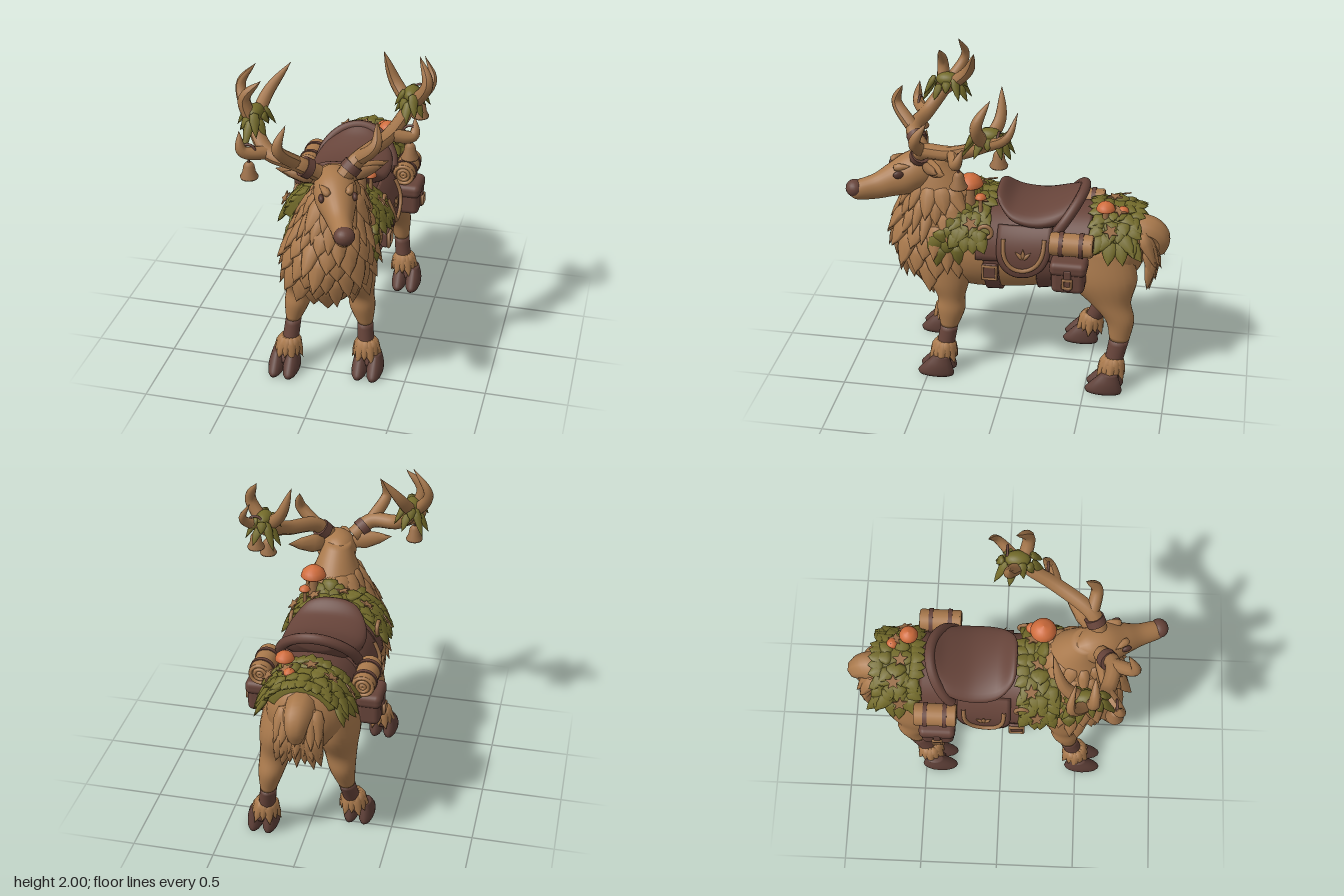
import * as THREE from 'three';
import { mergeGeometries } from 'three/addons/utils/BufferGeometryUtils.js';
import { RoundedBoxGeometry } from 'three/addons/geometries/RoundedBoxGeometry.js';

const V = (x, y, z) => new THREE.Vector3(x, y, z);
const mat = (name, color) => Object.assign(new THREE.MeshStandardMaterial({ color }), { name });
const X = V(1, 0, 0), Y = V(0, 1, 0), Z = V(0, 0, 1), SIDES = [-1, 1], TAU = Math.PI * 2;
const range = (n, f) => Array.from({ length: n }, (_, i) => f(i));

// Smoothly resample rings [cx, cy, cz, ru, rv]
function dense(rings, n = 6) {
  const c = new THREE.CatmullRomCurve3(rings.map(r => V(r[0], r[1], r[2])), false, 'catmullrom');
  const s = new THREE.CatmullRomCurve3(rings.map(r => V(r[3], r[4], 0)), false, 'catmullrom');
  const N = (rings.length - 1) * n;
  return range(N + 1, i => {
    const p = c.getPoint(i / N), q = s.getPoint(i / N);
    return [p.x, p.y, p.z, q.x, q.y];
  });
}

function surface(pos, idx) {
  const g = new THREE.BufferGeometry();
  g.setAttribute('position', new THREE.Float32BufferAttribute(pos, 3));
  g.setIndex(idx);
  g.computeVertexNormals();
  return g;
}

// Closed skin over elliptical rings spanned by axes U and W
function loft(rings, U, W, seg = 24) {
  let d = dense(rings);
  const way = V(...d.at(-1)).sub(V(...d[0]));
  if (U.clone().cross(W).dot(way) < 0) d = d.reverse();
  const pos = [], idx = [], last = (d.length - 1) * seg, e = d.length * seg;
  for (const r of d) for (let j = 0; j < seg; j++) {
    const a = j / seg * TAU;
    pos.push(...V(...r).addScaledVector(U, Math.cos(a) * r[3]).addScaledVector(W, Math.sin(a) * r[4]));
  }
  pos.push(...V(...d[0]), ...V(...d.at(-1)));
  for (let j = 0; j < seg; j++) {
    const k = (j + 1) % seg;
    for (let i = 0; i < last; i += seg) idx.push(i + j, i + k, i + j + seg, i + k, i + k + seg, i + j + seg);
    idx.push(e, k, j, e + 1, last + j, last + k);
  }
  return surface(pos, idx);
}

// Tube whose radius follows a function of its length
function taper(pts, rad, seg = 20) {
  const curve = new THREE.CatmullRomCurve3(pts.map(p => V(...p)));
  const g = new THREE.TubeGeometry(curve, seg, 1, 10), p = g.attributes.position;
  for (let k = 0; k < p.count; k++) {
    const t = Math.floor(k / 11) / seg, c = curve.getPointAt(t);
    const v = V().fromBufferAttribute(p, k).sub(c).multiplyScalar(Math.max(rad(t), .001)).add(c);
    p.setXYZ(k, v.x, v.y, v.z);
  }
  g.computeVertexNormals();
  return g;
}

// Lathe from radius and height lists
const lathe = (r, h, seg) => new THREE.LatheGeometry(r.map((q, i) => new THREE.Vector2(q, h[i])), seg);
// Pointed lock used for fur, moss and ears
const lock = lathe([0, .8, 1, .62, 0], [0, .08, .32, .68, 1], 8);
function place(g, p, dir, normal, w, l, t) {
  const y = dir.clone().normalize(), x = y.clone().cross(normal).normalize(), z = x.clone().cross(y);
  return g.clone().applyMatrix4(new THREE.Matrix4().makeBasis(x, y, z).scale(V(w, l, t)).setPosition(p));
}
const tuft = (...a) => place(lock, ...a);
const ball = (x, y, z, a, b, c) => new THREE.SphereGeometry(1, 20, 14).scale(a, b, c).translate(x, y, z);
const box = (x, y, z, w, h, d, r) => new RoundedBoxGeometry(w, h, d, 3, r).translate(x, y, z);
const torus = (r, tube, x, y, z) => new THREE.TorusGeometry(r, tube, 8, 22).translate(x, y, z);
const buckle = (r, x, y, z) => new THREE.TorusGeometry(r, .011, 8, 4).rotateZ(Math.PI / 4).rotateY(Math.PI / 2).translate(x, y, z);

const BODY = [[0, .9, -.82, .07, .09], [0, .9, -.77, .17, .18], [0, .89, -.66, .235, .24], [0, .86, -.3, .255, .255],
  [0, .835, 0, .265, .275], [0, .845, .3, .27, .285], [0, .88, .6, .15, .2]];
const MANE = [[.06, 1.42, .5, .08, .08], [.06, 1.28, .46, .135, .165], [.04, 1.1, .44, .205, .265],
  [.02, .9, .44, .25, .31], [0, .7, .43, .24, .25], [0, .56, .4, .12, .13]];
const bodyD = dense(BODY), maneD = dense(MANE).reverse();
function ringAt(d, k, v) {
  let i = 0;
  while (i < d.length - 2 && d[i + 1][k] < v) i++;
  const t = THREE.MathUtils.clamp((v - d[i][k]) / (d[i + 1][k] - d[i][k]), 0, 1);
  return d[i].map((q, m) => q + (d[i + 1][m] - q) * t);
}
// Points on the trunk (angle from the spine) and mane (angle from the front)
const onBody = (z, a, off = 0) => { const r = ringAt(bodyD, 2, z); return V(Math.sin(a) * (r[3] + off), r[1] + Math.cos(a) * (r[4] + off), z); };
const onMane = (y, a, off = 0) => { const r = ringAt(maneD, 1, y); return V(r[0] + Math.sin(a) * (r[3] + off), y, r[2] + Math.cos(a) * (r[4] + off)); };

// Padded panel wrapped over the trunk, optionally with a rounded lower end
function panel(z0, z1, a0, a1, off, round = false) {
  const nz = 14, na = 30, pos = [], idx = [], lo = Math.min(Math.abs(a0), Math.abs(a1)), hi = Math.max(Math.abs(a0), Math.abs(a1));
  for (let i = 0; i <= nz; i++) for (let j = 0; j <= na; j++) {
    const u = THREE.MathUtils.clamp((i - 1) / (nz - 2), 0, 1), v = THREE.MathUtils.clamp((j - 1) / (na - 2), 0, 1);
    const a = a0 + (a1 - a0) * v, f = Math.max(0, ((Math.abs(a) - lo) / (hi - lo) - .45) / .55);
    const w = round ? Math.sqrt(Math.max(.02, 1 - f * f)) : 1;
    const edge = i === 0 || i === nz || j === 0 || j === na;
    pos.push(...onBody((z0 + z1) / 2 + (u - .5) * (z1 - z0) * w, a, edge ? -.02 : off));
    if (i < nz && j < na) {
      const k = i * (na + 1) + j, b = k + na + 1;
      idx.push(k, b, k + 1, b, b + 1, k + 1);
    }
  }
  return surface(pos, idx);
}

// Rings from hip to hoof; the sock starts at the fifth
const FRONT_LEG = [[.16, .85, .38, .11, .15], [.18, .65, .38, .1, .13], [.19, .53, .365, .08, .088], [.2, .44, .365, .078, .088],
  [.22, .33, .375, .048, .056], [.235, .16, .405, .052, .056], [.255, .07, .425, .06, .06]];
const HIND_LEG = [[.13, .95, -.5, .12, .23], [.16, .75, -.55, .135, .24], [.185, .59, -.625, .1, .135], [.205, .47, -.695, .078, .09],
  [.225, .34, -.7, .05, .062], [.25, .16, -.665, .052, .056], [.28, .07, -.645, .06, .06]];

// Antler beams, and tines as [beam point, middle, tip]
const RIGHT_BEAM = [[-.02, 1.43, .58], [-.12, 1.51, .65], [-.3, 1.54, .61], [-.41, 1.66, .52], [-.52, 1.85, .4], [-.42, 2, .42]];
const RIGHT_TINES = [[1, [-.2, 1.65, .77], [-.165, 1.775, .72]], [2, [-.43, 1.57, .69], [-.45, 1.69, .68]],
  [3, [-.37, 1.8, .36], [-.25, 1.97, .29]], [3, [-.46, 1.82, .53], [-.36, 1.94, .53]]];
const LEFT_BEAM = [[.13, 1.42, .57], [.2, 1.51, .52], [.34, 1.58, .3], [.42, 1.68, .1], [.52, 1.79, -.05], [.46, 1.92, -.1]];
const LEFT_TINES = [[1, [.31, 1.62, .54], [.3, 1.74, .47]], [2, [.47, 1.57, .26], [.47, 1.67, .22]],
  [3, [.31, 1.8, .03], [.24, 1.98, .03]], [3, [.52, 1.84, .13], [.46, 1.98, .06]]];

export function createModel() {
  const root = new THREE.Group();
  const fur = mat('fur', 0xa9794c), antler = mat('antler', 0xa3754a), leather = mat('leather', 0x67443a), hoof = mat('hoof', 0x5f4038),
    moss = mat('moss', 0x736b2a), orange = mat('mushroomOrange', 0xcf6c3c), trim = mat('trim', 0x9c7049), dark = mat('eyeDark', 0x563830);
  const add = (name, m, geos, parent = root) => {
    const list = geos.map(g => { const q = g.index ? g.toNonIndexed() : g.clone(); q.deleteAttribute('uv'); return q; });
    const mesh = new THREE.Mesh(mergeGeometries(list), m);
    mesh.name = name;
    parent.add(mesh);
  };
  const group = name => {
    const g = new THREE.Group();
    g.name = name;
    root.add(g);
    return g;
  };

  // Trunk, mane and layered fur
  add('trunk', fur, [loft(BODY, X, Y, 32)]);
  const mane = [loft(MANE, X, Z, 32)];
  for (let r = 0; r < 9; r++) for (let j = 0; j < 14; j++) {
    const y = 1.27 - r * .076, a = (j + (r % 2) / 2) / 14 * TAU, p = onMane(y, a, -.025), n = V(Math.sin(a), .1, Math.cos(a));
    if (r > 4 && Math.cos(a) < -.5) continue;
    const d = onMane(y - .1, a).sub(p).addScaledVector(n, r < 2 ? 0 : .012);
    mane.push(tuft(p, d, n, (r < 3 ? .052 : .068) + .012 * Math.sin(j * 5 + r), .2 + .04 * Math.sin(j * 3 + r * 2), .03));
  }
  add('maneFur', fur, mane);

  // Tail
  const tail = [taper([[0, .99, -.7], [0, 1.0, -.84], [0, .95, -.9], [0, .85, -.9]], t => .098 * (1 - t * t * .6))];
  for (let j = -3; j <= 3; j++) for (const k of [0, 1, 2])
    tail.push(tuft(V(j * .03, 1.05 - k * .07 - Math.abs(j) * .012, -.8 - k * .035), V(j * .035, -.5, -.32 + k * .14 + Math.abs(j) * .03), V(j * .15, .4, -1), .048, .26 - .03 * (j & 1), .035));
  add('tail', fur, tail);

  // Legs with socks, fur cuffs and cloven hooves; the right ones step forward
  for (const [name, pts, stride] of [['frontLeg', FRONT_LEG, .1], ['hindLeg', HIND_LEG, .23]]) for (const s of SIDES) {
    const step = s < 0 ? stride : 0;
    const p = pts.map(q => [q[0] * s, q[1], q[2] + step * (1 - q[1] / pts[0][1]), q[3], q[4]]);
    const leg = group(name), locks = [], knee = V(...p[3]), ankle = V(...p[5]), [fx, , fz] = p[6];
    for (let j = 0; j < 12; j++) {
      const a = j / 12 * TAU, n = V(Math.sin(a), 0, Math.cos(a));
      locks.push(tuft(ankle.clone().addScaledVector(n, .035).addScaledVector(Y, .065), V(n.x * .065 + s * .01, -.15, n.z * .065 + .01), n, .037, .13 + .025 * (j % 2), .028));
      if (j % 2) locks.push(tuft(knee.clone().addScaledVector(n, .05).addScaledVector(Y, .06), V(-n.x * .015, -.1, -n.z * .015), n, .042, .15, .03));
    }
    add('upperLeg', fur, [loft(p.slice(0, 5), X, Z)], leg);
    add('sock', leather, [loft(p.slice(4), X, Z)], leg);
    add('legFur', fur, locks, leg);
    add('hoof', hoof, SIDES.map(k => {
      const x = fx + k * .047;
      return loft([[x, .14, fz - .01, .03, .05], [x, .08, fz + .01, .047, .088], [x, .03, fz + .025, .05, .115], [x, .004, fz + .025, .042, .11]], X, Z, 16);
    }), leg);
  }

  // Head, turned to its left
  const head = group('head');
  head.position.set(.07, 0, .55);
  head.rotation.y = .38;
  add('skull', fur, [loft([[0, 1.36, -.12, .05, .06], [0, 1.345, -.04, .11, .11], [0, 1.32, .08, .125, .13], [0, 1.28, .2, .092, .105],
    [0, 1.245, .3, .067, .08], [0, 1.232, .41, .057, .06], [0, 1.235, .455, .035, .035]], X, Y),
    ...SIDES.map(s => tuft(V(s * .055, 1.385, .19), V(s * .05, .02, -.12), V(s, 1, 0), .025, .11, .025))], head);
  add('nose', leather, [ball(0, 1.246, .422, .06, .053, .055)], head);
  add('eyes', dark, SIDES.map(s => ball(s * .096, 1.352, .165, .016, .024, .032)), head);
  for (const s of SIDES) {
    const d = V(s * .9, .16, -.25), n = V(s * .2, -.1, 1);
    add('ear', fur, [tuft(V(s * .085, 1.395, -.01), d, n, .062, .26, .03)], head);
    add('innerEar', trim, [tuft(V(s * .115, 1.4, .008), d, n, .042, .19, .025)], head);
  }

  // Antlers with a leather band at the base and moss hanging from the fork
  for (const [beam, tines] of [[RIGHT_BEAM, RIGHT_TINES], [LEFT_BEAM, LEFT_TINES]]) {
    add('antler', antler, [taper(beam, t => .05 * (1 - .25 * t) * (1 - t ** 6), 36),
      ...tines.map(([i, mid, tip]) => taper([beam[i], mid, tip], t => .041 * (1 - t ** 3)))]);
    const a = V(...beam[0]), d = V(...beam[1]).sub(a), c = V(...beam[3]).add(V(0, .07, -.03));
    add('antlerBand', leather, [place(new THREE.CylinderGeometry(1, 1, 1, 18), a.addScaledVector(d, .55), d, Z, .06, .05, .06)]);
    add('antlerMoss', moss, [ball(c.x, c.y, c.z, .05, .045, .075), ...range(11, j => {
      const t = j / 11 * TAU, n = V(Math.cos(t), .2, Math.sin(t));
      return tuft(c.clone().add(V(n.x * .04, .03 * Math.sin(j * 4), n.z * .085)), V(n.x * .06, -.1, n.z * .06), n, .03, .08 + .035 * (j % 4), .018);
    })]);
  }

  // Bells on cords
  const bell = lathe([0, .05, .054, .038, .032, .02, 0], [-.05, -.055, -.045, -.015, .025, .042, .047], 20);
  for (const [x, y, z] of [[-.4, 1.45, .67], [.45, 1.47, .25], [.46, 1.63, .01]]) {
    add('bell', trim, [bell.clone().translate(x, y, z), ball(x, y - .055, z, .015, .015, .015)]);
    add('bellCord', leather, [new THREE.CylinderGeometry(.007, .007, .09, 8).translate(x, y + .075, z), torus(.042, .008, x, y + .115, z)]);
  }

  // Moss blankets at the withers and rump, with ragged leafy edges
  const withers = [panel(.12, .36, -1.1, 1.1, .075)], rump = [panel(-.76, -.52, -1.1, 1.1, .035)];
  for (const s of SIDES) for (let t = 0; t <= 8; t++) for (let r = 0; r < (t > 6 ? 3 : 4); r++) {
    const y = 1.27 - .03 * t - .052 * r, a = s * (Math.PI - t * .185), p = onMane(y, a, .012), n = V(Math.sin(a), .2, Math.cos(a));
    withers.push(tuft(p, onMane(y - .1, a - s * .25 * Math.sin(t * 2.3 + r * 1.7), .03).sub(p), n, .055, .12 + .025 * Math.sin(t * 3 + r), .03));
  }
  for (let j = -7; j <= 7; j++) {
    const a = j * .15, n = V(Math.sin(a), Math.cos(a), 0), around = V(Math.cos(a), -Math.sin(a), 0).multiplyScalar(j / 6);
    for (const k of [-1, -.4, .3, 1]) {
      const d = around.clone().addScaledVector(Z, k * .8 + .5 * Math.sin(j * 2.1 + k * 5)).addScaledVector(n, .05);
      rump.push(tuft(onBody(-.645 + k * .08, a, .028), d, n, .05, Math.abs(j) > 5 ? .15 : .1, .022));
      withers.push(tuft(onBody(.23 + k * .06, a, .06), d.setZ(d.z * .6), n, .05, .11, .022));
    }
  }
  add('withersMoss', moss, withers);
  add('rumpMoss', moss, rump);

  // Fallen leaves lying on the moss
  const star = new THREE.Shape(range(10, i => {
    const r = i % 2 ? .45 : 1, a = i / 10 * TAU;
    return new THREE.Vector2(Math.sin(a) * r, Math.cos(a) * r);
  }));
  const leaf = new THREE.ExtrudeGeometry(star, { depth: 1, bevelEnabled: false });
  add('leaves', trim, [[-.62, .062], [.22, .094]].flatMap(([z, off]) => range(5, i => {
    const a = (i - 2) * .47 - .08;
    return place(leaf, onBody(z - .04 * (i % 2), a, off), V(.4, 0, 1), V(Math.sin(a), Math.cos(a), 0), .05, .05, .009);
  })));

  // Mushrooms [x, cap height, z, cap radius]
  const cap = lathe([0, .9, 1, .85, .5, 0], [0, -.12, 0, .42, .72, .85], 24);
  for (const [x, y, z, r] of [[.16, 1.3, .24, .08], [.2, 1.23, .17, .036], [.14, 1.19, -.58, .058], [.09, 1.16, -.68, .036]]) {
    add('mushroomStem', trim, [new THREE.CylinderGeometry(r * .3, r * .42, .15, 12).translate(x, y - .07, z)]);
    add('mushroomCap', orange, [cap.clone().scale(r, r, r).translate(x, y, z)]);
  }

  // Saddle: skirt, seat, cantle and girths
  add('saddleSkirt', leather, [panel(-.32, .19, -1.5, 1.5, .025), panel(-.5, -.28, -1.25, 1.25, .02)]);
  add('saddleSeat', leather, [loft([[0, 1.225, .09, .1, .02], [0, 1.19, .06, .17, .055], [0, 1.12, -.03, .235, .065],
    [0, 1.1, -.18, .25, .075], [0, 1.14, -.33, .22, .08], [0, 1.22, -.42, .11, .05]], X, Y, 32)]);
  add('cantle', leather, [taper(range(9, i => {
    const a = i / 8 * Math.PI, up = Math.sin(a) ** 1.2;
    return [-.24 * Math.cos(a), 1.06 + .2 * up, -.3 - .14 * up];
  }), () => .032, 30)]);
  add('girths', leather, [.05, -.27].map(z => panel(z, z + .09, -Math.PI, Math.PI, .018)));

  for (const s of SIDES) {
    // Rounded flap with a curved border, sprig and rings
    const gear = group('saddleGear'), [a0, a1] = s > 0 ? [.75, 1.85] : [-1.85, -.75];
    add('saddleFlap', leather, [panel(-.27, .06, a0, a1, .045, true)], gear);
    const border = range(11, i => {
      const t = i / 10 * Math.PI;
      return onBody(-.105 + .125 * Math.cos(t), s * (1.03 + .63 * Math.max(0, Math.sin(t)) ** .7), .052).toArray();
    });
    add('flapTrim', trim, [taper(border, () => .013, 40),
      ...[-.5, 0, .5].map(k => tuft(onBody(-.105, 1.42 * s, .043), V(0, .1, k * .2), V(s, 0, 0), .014, .07, .012)),
      new THREE.TorusGeometry(.04, .013, 8, 20).rotateY(Math.PI / 2).translate(s * .275, 1.04, .13), buckle(.06, s * .31, .78, .1)], gear);
    add('girthPad', leather, [box(s * .285, .78, .1, .05, .11, .1, .02)], gear);
    // Saddlebag with lid, strap and buckle
    add('saddlebag', leather, [box(s * .335, .825, -.39, .14, .19, .2, .035), box(s * .338, .895, -.39, .155, .09, .225, .035),
      box(s * .408, .83, -.39, .025, .14, .045, .01)], gear);
    add('bagBuckle', trim, [buckle(.036, s * .42, .81, -.39)], gear);
    // Bedroll with straps and coiled ends
    const roll = (r, l, z) => new THREE.CylinderGeometry(r, r, l, 28).rotateX(Math.PI / 2).translate(s * .31, 1.02, z);
    add('bedroll', fur, [roll(.07, .24, -.4), ...SIDES.flatMap(e => [.058, .033, .012].map(r => torus(r, .011, s * .31, 1.02, -.4 + e * .12)))], gear);
    add('bedrollStraps', leather, [-.46, -.34].map(z => roll(.076, .026, z)), gear);
  }
  return root;
}
